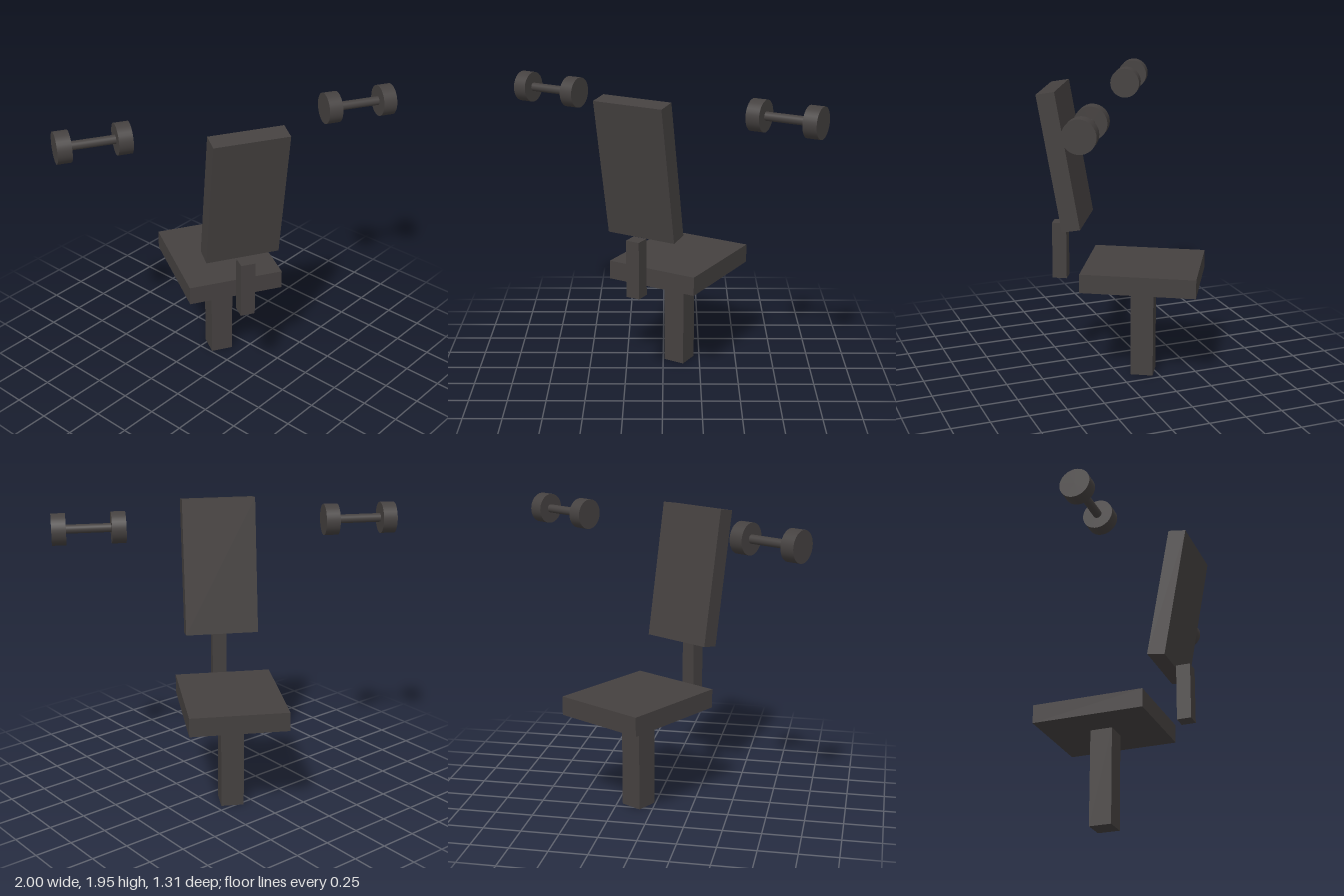
import * as THREE from 'three';

export function createModel() {
  const model = new THREE.Group();
  model.name = 'exerciseBench';
  const charcoal = new THREE.MeshStandardMaterial({ color: 0x454140 });
  charcoal.name = 'charcoal';

  const add = (parent, name, geometry, x, y, z) => {
    const mesh = new THREE.Mesh(geometry, charcoal);
    mesh.name = name;
    mesh.position.set(x, y, z);
    parent.add(mesh);
    return mesh;
  };
  const box = (name, w, h, d, y, z) =>
    add(bench, name, new THREE.BoxGeometry(w, h, d), 0, y, z);

  // Everything is turned 30 degrees; the backrest lies toward local +z
  const bench = new THREE.Group();
  bench.name = 'bench';
  bench.position.set(0.11, 0, -0.175);
  bench.rotation.y = -Math.PI / 6;
  model.add(bench);

  box('seat', 0.636, 0.125, 0.75, 0.7125, 0);
  box('pedestal', 0.15, 0.65, 0.15, 0.325, 0);
  box('backrestPost', 0.095, 0.38, 0.095, 0.84, 0.556);
  const backrest = box('backrest', 0.485, 0.9, 0.12, 1.48, 0.517);
  backrest.rotation.x = THREE.MathUtils.degToRad(10);

  // A pair of dumbbells floating on either side
  const weight = new THREE.CylinderGeometry(0.1, 0.1, 0.09, 32).rotateZ(Math.PI / 2);
  const handle = new THREE.CylinderGeometry(0.028, 0.028, 0.3, 24).rotateZ(Math.PI / 2);
  for (const side of [-1, 1]) {
    const dumbbell = new THREE.Group();
    dumbbell.name = side > 0 ? 'leftDumbbell' : 'rightDumbbell';
    dumbbell.position.set(side * 0.864, 1.845, 0.224);
    bench.add(dumbbell);
    add(dumbbell, 'handle', handle, 0, 0, 0);
    for (const end of [-1, 1]) add(dumbbell, 'weight', weight, end * 0.186, 0, 0);
  }

  return model;
}
